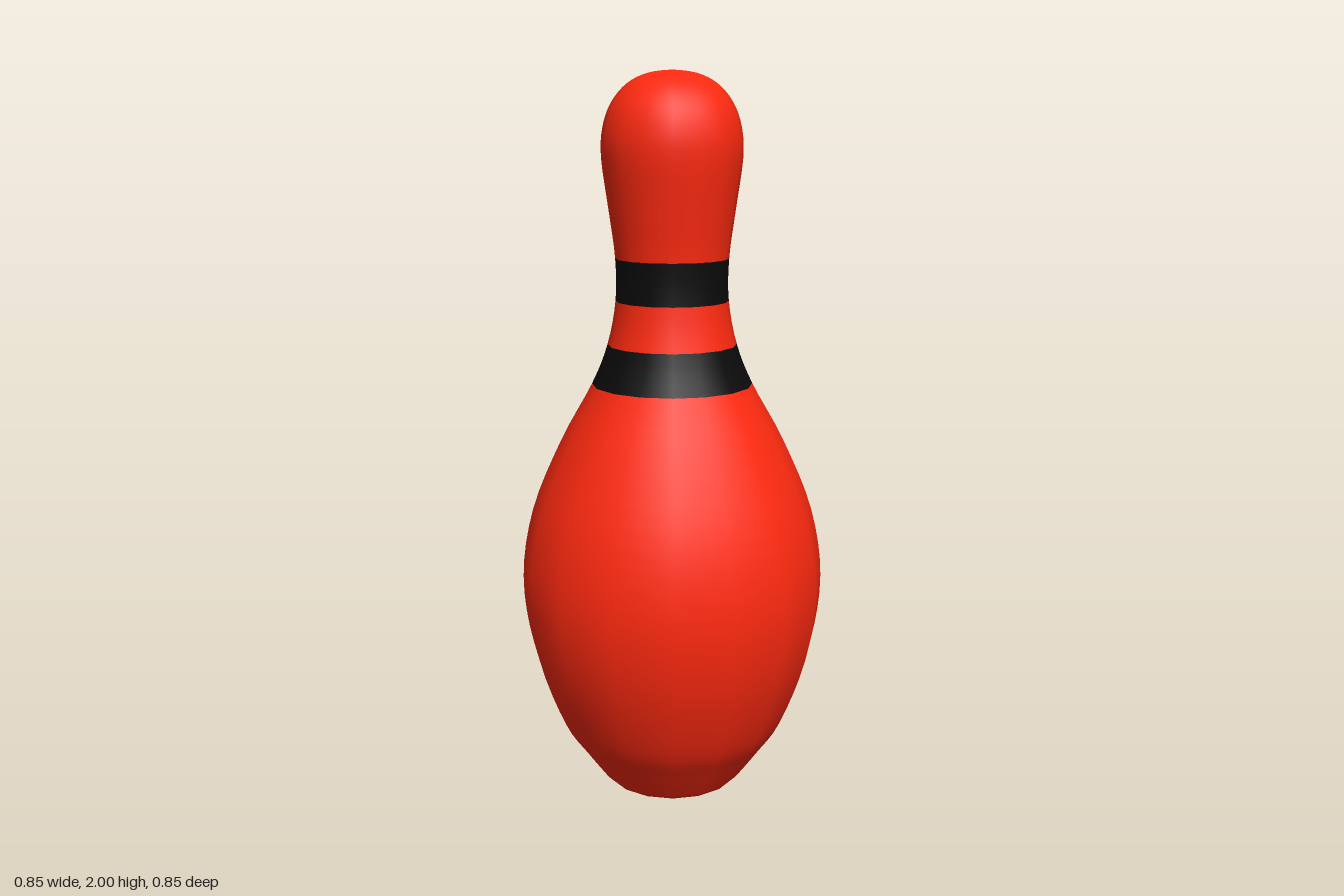
import * as THREE from 'three';

const SIDES = 16;
const STEPS = 4; // profile samples between neighbouring points

// Outline as [radius, height], from the foot to the crown
const OUTLINE = [
  [0.2, 0.012], [0.26, 0.095], [0.328, 0.2], [0.4, 0.4], [0.425, 0.6], [0.393, 0.8], [0.31, 1.0],
  [0.222, 1.16], [0.178, 1.27], [0.155, 1.39], [0.155, 1.505],
  [0.171, 1.63], [0.19, 1.77], [0.186, 1.85], [0.163, 1.915], [0.12, 1.965], [0.064, 1.992], [0, 2],
];

export function createModel() {
  const group = new THREE.Group();
  group.name = 'bowlingPin';
  const red = new THREE.MeshStandardMaterial({ color: 0xff2a10 });
  const black = new THREE.MeshStandardMaterial({ color: 0x0b0b0b });

  const curve = new THREE.SplineCurve(OUTLINE.map(([r, y]) => new THREE.Vector2(r, y)));

  function addLathe(name, points, material) {
    const mesh = new THREE.Mesh(new THREE.LatheGeometry(points, SIDES), material);
    mesh.name = name;
    group.add(mesh);
  }

  // Turned section of the outline between two of its points
  function addSection(name, from, to, material) {
    const points = [];
    for (let i = from * STEPS; i <= to * STEPS; i++) {
      const p = curve.getPoint(i / ((OUTLINE.length - 1) * STEPS));
      points.push(new THREE.Vector2(Math.max(p.x, 0), p.y));
    }
    addLathe(name, points, material);
  }

  // Flat underside with a small bevelled rim
  addLathe('base', [new THREE.Vector2(0, 0), new THREE.Vector2(0.188, 0)], red);
  addLathe('baseRim', [new THREE.Vector2(0.188, 0), new THREE.Vector2(0.2, 0.012)], red);

  // Body, neck and head, separated by the two stripes
  addSection('belly', 0, 7, red);
  addSection('lowerStripe', 7, 8, black);
  addSection('neck', 8, 9, red);
  addSection('upperStripe', 9, 10, black);
  addSection('head', 10, 17, red);

  return group;
}
